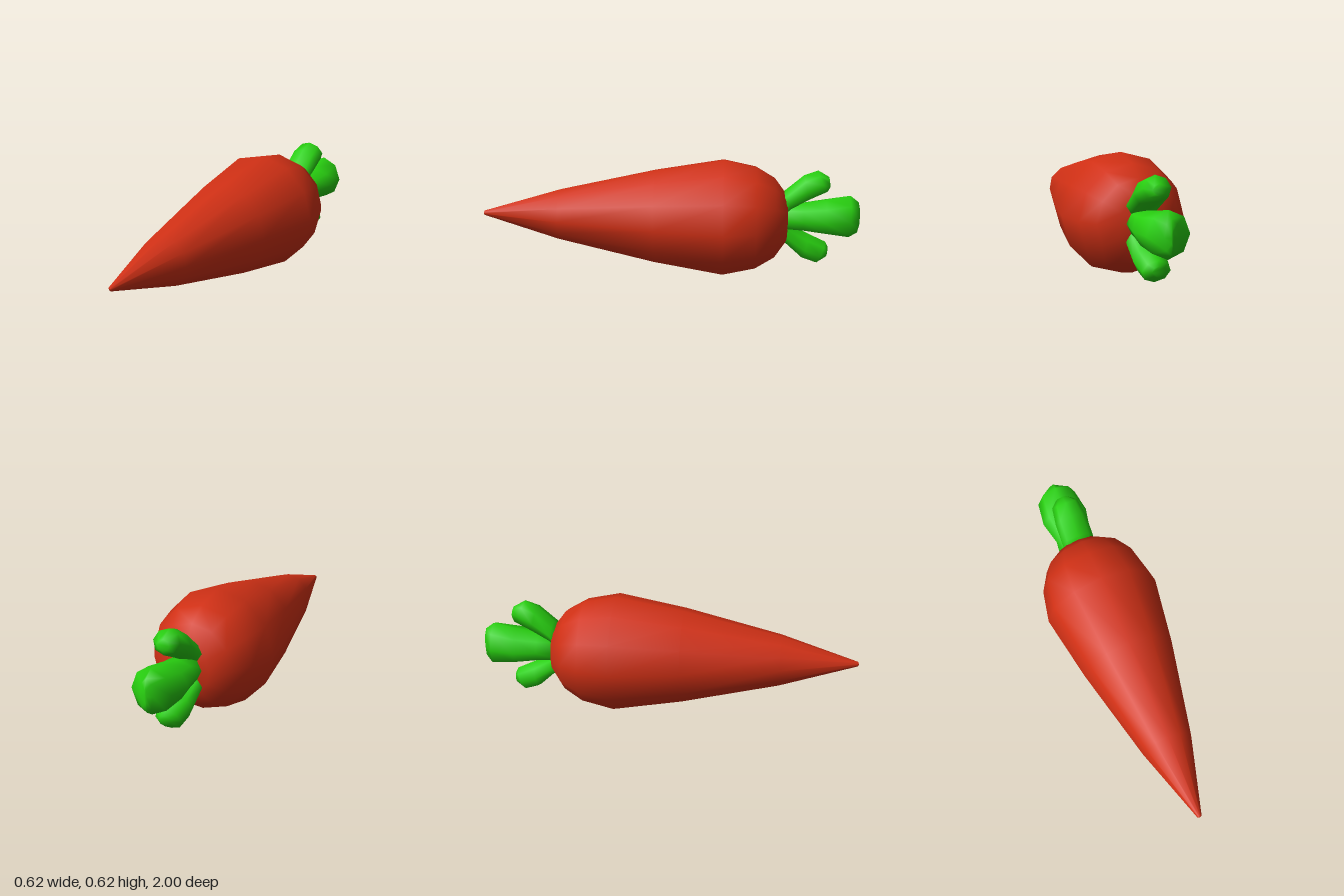
import * as THREE from 'three';

const MID = 0.32; // height of the long axis

// Smooth tapered blob running towards -z.
// Each ring is [zTop, yTop, zBottom, yBottom, halfWidth], y measured from the axis.
function leafGeometry(rings, sides = 8) {
  const pos = [], index = [];
  for (const [z1, y1, z0, y0, w] of rings) {
    for (let i = 0; i < sides; i++) {
      const a = (i / sides) * Math.PI * 2, t = (1 + Math.sin(a)) / 2;
      pos.push(w * Math.cos(a), MID + y0 + (y1 - y0) * t, z0 + (z1 - z0) * t);
    }
  }
  for (let j = 0; j < rings.length - 1; j++) {
    for (let i = 0; i < sides; i++) {
      const a = j * sides + i, b = j * sides + (i + 1) % sides;
      index.push(a, a + sides, b, b, a + sides, b + sides);
    }
  }
  // close both ends with a fan
  const last = (rings.length - 1) * sides;
  for (let i = 1; i < sides - 1; i++) {
    index.push(0, i, i + 1, last, last + i + 1, last + i);
  }
  const g = new THREE.BufferGeometry();
  g.setAttribute('position', new THREE.Float32BufferAttribute(pos, 3));
  g.setIndex(index);
  g.computeVertexNormals();
  return g;
}

export function createModel() {
  const group = new THREE.Group();
  const orange = new THREE.MeshStandardMaterial({ color: 0xd03015 });
  const green = new THREE.MeshStandardMaterial({ color: 0x28d010 });
  const add = (name, geometry, material) => {
    const mesh = new THREE.Mesh(geometry, material);
    mesh.name = name;
    group.add(mesh);
    return mesh;
  };

  // root: twelve-sided taper, [radius, z] from the crown to the tip
  const profile = [
    [0, -0.625], [0.125, -0.615], [0.215, -0.55], [0.275, -0.45], [0.311, -0.28],
    [0.25, 0.08], [0.135, 0.59], [0.012, 0.995], [0, 1],
  ].map(([r, z]) => new THREE.Vector2(r, z));
  const root = add('root', new THREE.LatheGeometry(profile, 12).rotateX(Math.PI / 2), orange);
  root.position.y = 0.313;

  // large middle leaf, ending in an upright rounded edge
  add('middleLeaf', leafGeometry([
    [-0.58, 0.07, -0.58, -0.07, 0.08],
    [-0.7, 0.075, -0.7, -0.075, 0.1],
    [-0.82, 0.095, -0.82, -0.09, 0.126],
    [-0.945, 0.12, -0.945, -0.112, 0.108],
    [-0.99, 0.085, -0.99, -0.085, 0.035],
    [-1, 0.04, -1, -0.04, 0.005],
  ]), green);

  // short leaves splaying up and down
  const upper = [
    [-0.58, 0.125, -0.58, -0.02, 0.085],
    [-0.615, 0.15, -0.635, 0.045, 0.087],
    [-0.7, 0.23, -0.73, 0.095, 0.086],
    [-0.77, 0.256, -0.825, 0.14, 0.072],
    [-0.83, 0.222, -0.838, 0.165, 0.035],
  ];
  const lower = upper.map(([z1, y1, z0, y0, w]) => [z0, -y0, z1, -y1, w]);
  add('upperLeaf', leafGeometry(upper), green);
  add('lowerLeaf', leafGeometry(lower), green);

  return group;
}
